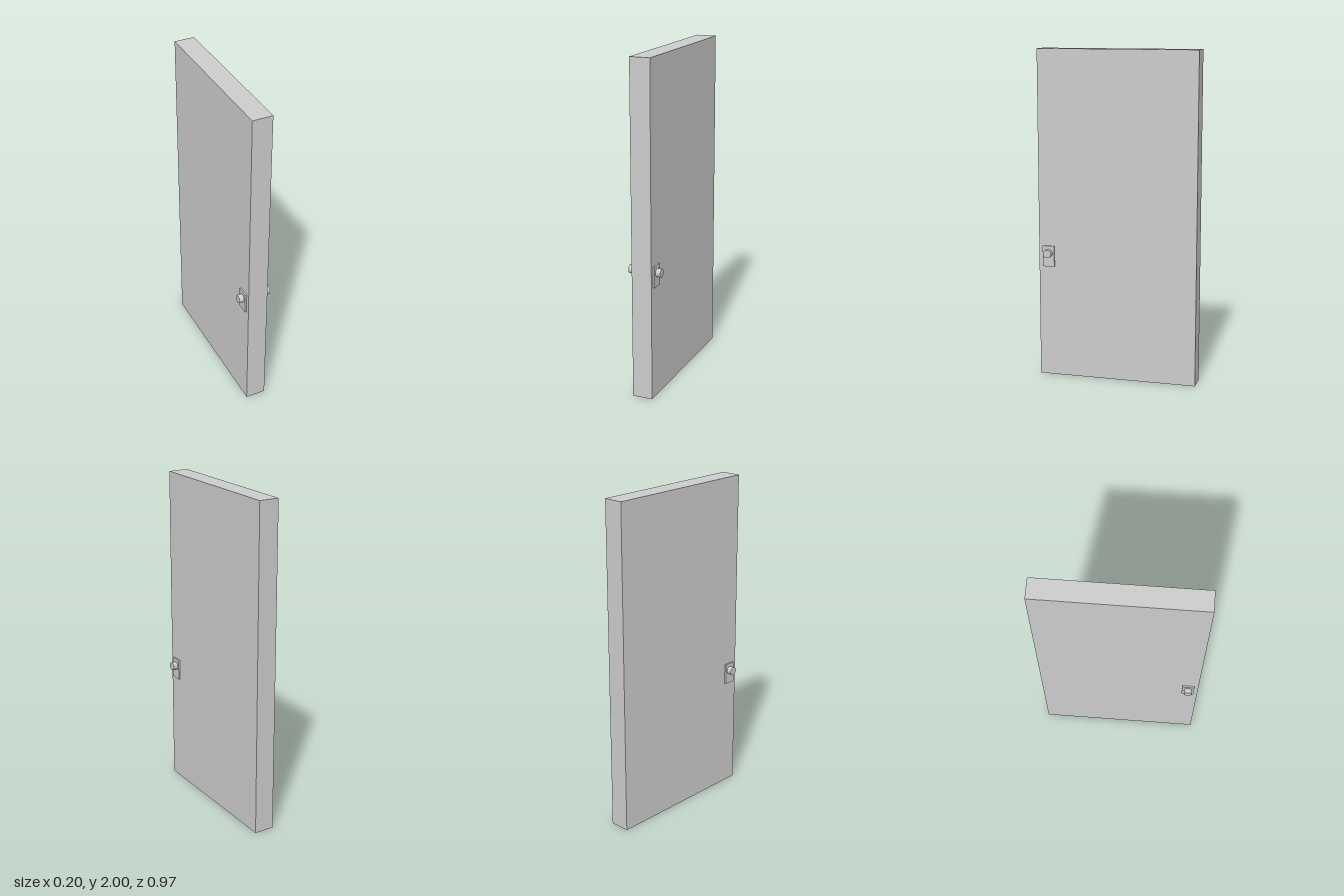
import * as THREE from 'three';

const DOOR = { thickness: 0.122, height: 2, width: 0.974 };
const KNOB_Z = 0.426;

export function createModel() {
  const model = new THREE.Group();
  model.name = 'door';
  const material = new THREE.MeshStandardMaterial({ color: 0xcccccc });

  const add = (parent, name, geometry, x, y, z) => {
    const mesh = new THREE.Mesh(geometry, material);
    mesh.name = name;
    mesh.position.set(x, y, z);
    parent.add(mesh);
    return mesh;
  };

  // Door slab
  add(model, 'doorPanel', new THREE.BoxGeometry(DOOR.thickness, DOOR.height, DOOR.width), 0, DOOR.height / 2, 0);

  // Back plate and round knob on each face
  const plate = new THREE.BoxGeometry(0.011, 0.128, 0.073);
  const knob = new THREE.CylinderGeometry(0.025, 0.025, 0.029, 32).rotateZ(Math.PI / 2);
  for (const [side, sign] of [['left', 1], ['right', -1]]) {
    const handle = new THREE.Group();
    handle.name = `${side}Handle`;
    add(handle, `${side}Plate`, plate, sign * 0.0655, 0.75, KNOB_Z);
    add(handle, `${side}Knob`, knob, sign * 0.0855, 0.769, KNOB_Z);
    model.add(handle);
  }

  return model;
}
